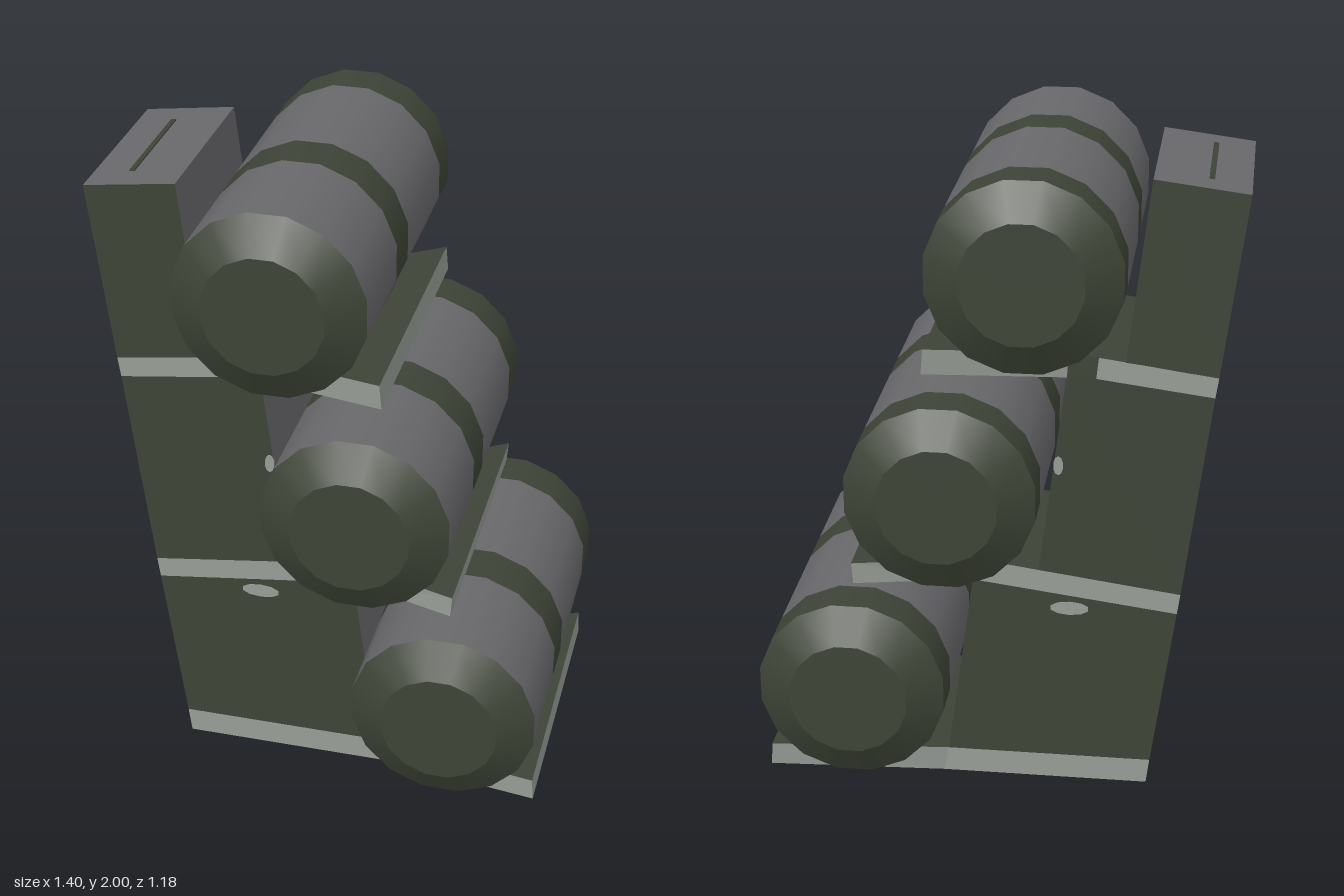
import * as THREE from 'three';

const mat = (name, color) => {
  const m = new THREE.MeshStandardMaterial({ color });
  m.name = name;
  return m;
};

// Prism from a counter-clockwise xy quad (bottom left, bottom right, top right, top left).
// Half depth in z runs from d0 at the left corners to d1 at the right corners.
// mats: bottom, right, top, left, sides
function slab(name, p, d0, d1, mats) {
  const d = [d0, d1, d1, d0];
  const pos = [];
  const geo = new THREE.BufferGeometry();
  const F = i => [p[i][0], p[i][1], d[i]];
  const B = i => [p[i][0], p[i][1], -d[i]];
  const quad = (a, b, c, e) => pos.push(...a, ...b, ...c, ...a, ...c, ...e);
  for (let i = 0; i < 4; i++) {
    const j = (i + 1) % 4;
    quad(F(i), B(i), B(j), F(j));
    geo.addGroup(i * 6, 6, i);
  }
  quad(F(0), F(1), F(2), F(3));
  quad(B(0), B(3), B(2), B(1));
  geo.addGroup(24, 12, 4);
  geo.setAttribute('position', new THREE.Float32BufferAttribute(pos, 3));
  geo.computeVertexNormals();
  const mesh = new THREE.Mesh(geo, mats);
  mesh.name = name;
  return mesh;
}

export function createModel() {
  const green = mat('darkGreen', 0x3d4436);
  const grey = mat('grey', 0x69686b);
  const light = mat('paleGrey', 0x979d97);
  const model = new THREE.Group();
  model.name = 'barrelRack';
  const D = 0.285;

  // Leaning stepped column, stacked from wedge sections
  const greenSides = [green, grey, grey, grey, green];
  const stepTop = [green, grey, green, grey, green];
  const stripe = [green, grey, green, grey, light];
  const column = new THREE.Group();
  column.name = 'column';
  column.add(
    slab('base', [[-0.455, 0], [0.18, 0], [0.165, 0.08], [-0.465, 0.08]], D, D, stripe),
    slab('lowerColumn', [[-0.465, 0.08], [0.165, 0.08], [0.085, 0.675], [-0.535, 0.595]], D, D, greenSides),
    slab('lowerStripe', [[-0.535, 0.595], [0.085, 0.675], [0.078, 0.745], [-0.544, 0.66]], D, D, stripe),
    slab('middleColumn', [[-0.544, 0.66], [-0.115, 0.718], [-0.195, 1.355], [-0.625, 1.3]], D, D, greenSides),
    slab('upperStripe', [[-0.625, 1.3], [-0.28, 1.344], [-0.287, 1.41], [-0.634, 1.362]], D, D, stripe),
    slab('upperStep', [[-0.28, 1.344], [-0.195, 1.355], [-0.2, 1.422], [-0.287, 1.41]], D, D, stepTop),
    slab('upperColumn', [[-0.634, 1.362], [-0.365, 1.398], [-0.43, 1.945], [-0.705, 1.91]], D, D, greenSides)
  );
  model.add(column);

  // Shelves flaring out from the column
  const shelfMats = [green, light, green, green, light];
  [
    [[0.18, 0], [0.695, 0.085], [0.69, 0.155], [0.165, 0.08]],
    [[0.085, 0.675], [0.42, 0.725], [0.425, 0.79], [0.078, 0.745]],
    [[-0.195, 1.345], [0.207, 1.4], [0.2, 1.475], [-0.2, 1.422]]
  ].forEach((p, i) => model.add(slab('shelf' + (i + 1), p, D, 0.45, shelfMats)));

  // Worn patches on the column sides and the slot on top
  for (const s of [1, -1]) {
    for (const [x, y, w, h] of [[-0.21, 0.595, 0.06, 0.022], [-0.172, 1.065, 0.015, 0.03]]) {
      const patch = new THREE.Mesh(new THREE.CylinderGeometry(1, 1, 0.005, 10).rotateX(Math.PI / 2), light);
      patch.scale.set(w, h, 1);
      patch.position.set(x, y, s * D);
      patch.name = 'wornPatch';
      column.add(patch);
    }
  }
  const slot = new THREE.Mesh(new THREE.BoxGeometry(0.016, 0.005, 0.38), green);
  slot.position.set(-0.59, 1.926, 0);
  slot.rotation.z = 0.127;
  slot.name = 'topSlot';
  column.add(slot);

  // Barrels: rings along z as [z0, r0, z1, r1, material]
  const R = 0.283, E = 0.178;
  const rings = [
    [-0.59, 0, -0.59, E, green, 'backEnd'],
    [-0.59, E, -0.525, R, green, 'backChamfer'],
    [-0.525, R, -0.395, R, green, 'backBand'],
    [-0.395, R, 0.032, R, grey, 'backBody'],
    [0.032, R, 0.175, R, green, 'middleBand'],
    [0.175, R, 0.525, R, grey, 'frontBody'],
    [0.525, R, 0.59, E, green, 'frontChamfer'],
    [0.59, E, 0.59, 0, green, 'frontEnd']
  ].map(([z0, r0, z1, r1, m, name]) => {
    const pts = [new THREE.Vector2(r0, z0), new THREE.Vector2(r1, z1)];
    const geo = new THREE.LatheGeometry(pts, 16, Math.PI / 16).rotateX(Math.PI / 2);
    return [geo, m, name];
  });
  [[0.42, 0.408], [0.147, 1.047], [-0.095, 1.722]].forEach(([x, y], i) => {
    const barrel = new THREE.Group();
    barrel.name = 'barrel' + (i + 1);
    for (const [geo, m, name] of rings) {
      const ring = new THREE.Mesh(geo, m);
      ring.name = name;
      barrel.add(ring);
    }
    barrel.position.set(x, y, 0);
    model.add(barrel);
  });

  return model;
}
